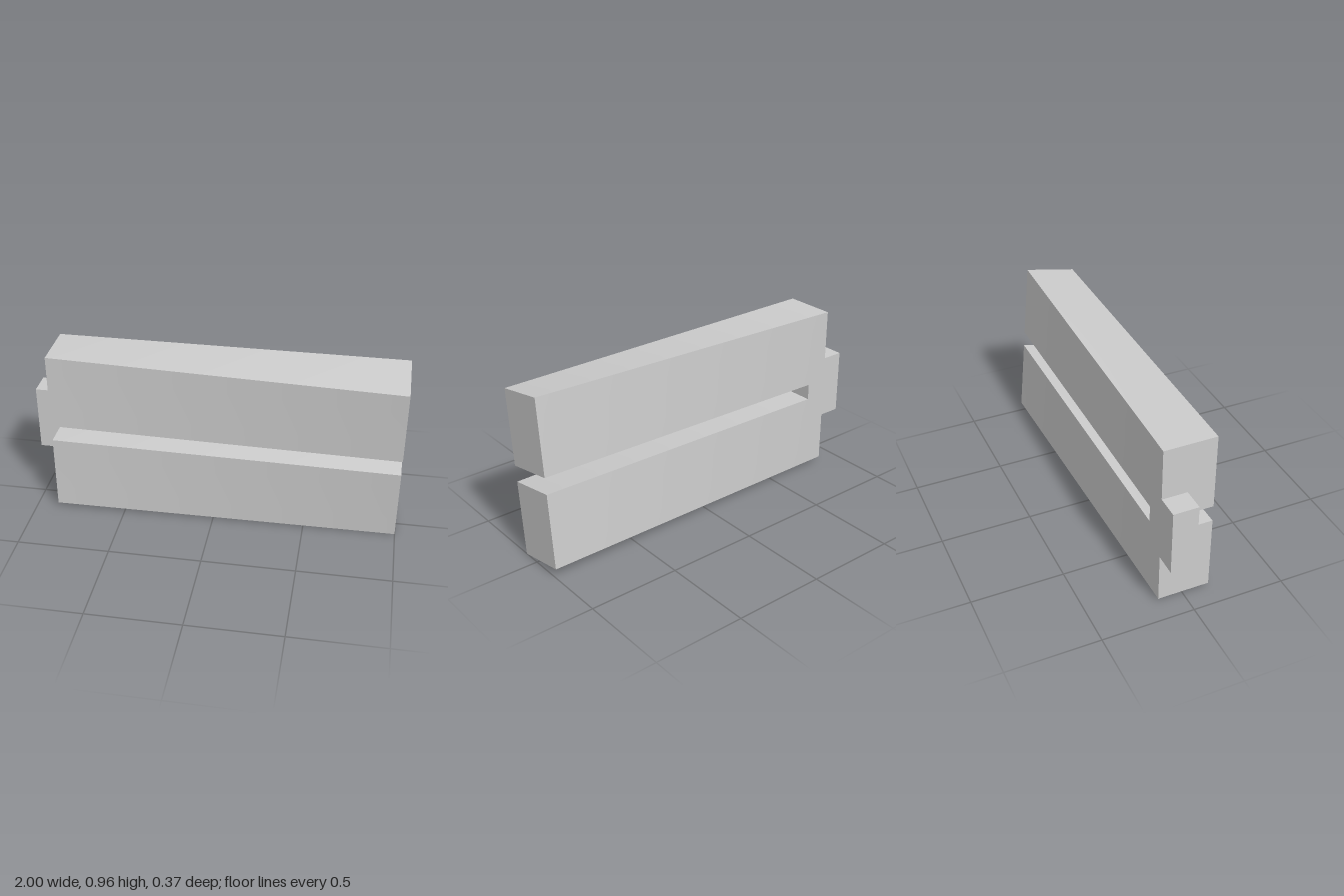
import * as THREE from 'three';

const MID = 0.4835;   // height of the mirror line between the two bars
const ROOT = -0.88;   // x where the twist starts
const TIP = 1;

// Skews the cross-section progressively from the root to the tip
function twist(geometry) {
  const p = geometry.attributes.position;
  for (let i = 0; i < p.count; i++) {
    const x = p.getX(i), y = p.getY(i) - MID, z = p.getZ(i);
    const t = Math.max(0, (x - ROOT) / (TIP - ROOT));
    p.setXYZ(i, x, MID + y * (1 - 0.01 * t) - 0.192 * z * t, z + 0.093 * y * t);
  }
  geometry.computeVertexNormals();
  return geometry;
}

// Box given by its limits on each axis
function block(name, [x0, x1], [y0, y1], [z0, z1], segments, material) {
  const geometry = new THREE.BoxGeometry(x1 - x0, y1 - y0, z1 - z0, segments, 4, 4);
  geometry.translate((x0 + x1) / 2, (y0 + y1) / 2, (z0 + z1) / 2);
  const mesh = new THREE.Mesh(twist(geometry), material);
  mesh.name = name;
  return mesh;
}

export function createModel() {
  const group = new THREE.Group();
  group.name = 'twistedFork';
  const material = new THREE.MeshStandardMaterial({ color: 0xcccccc });

  // Two long bars, above and below the slot
  const depth = [-0.141, 0.141];
  group.add(block('upperBar', [ROOT, TIP], [MID + 0.045, MID + 0.46], depth, 24, material));
  group.add(block('lowerBar', [ROOT, TIP], [MID - 0.46, MID - 0.045], depth, 24, material));

  // Connector, flush with the back: outer tab and the bridge closing the slot
  const back = [-0.141, -0.005];
  group.add(block('endTab', [-1, ROOT], [MID - 0.18, MID + 0.18], back, 1, material));
  group.add(block('bridge', [ROOT, -0.76], [MID - 0.045, MID + 0.045], back, 2, material));
  return group;
}
